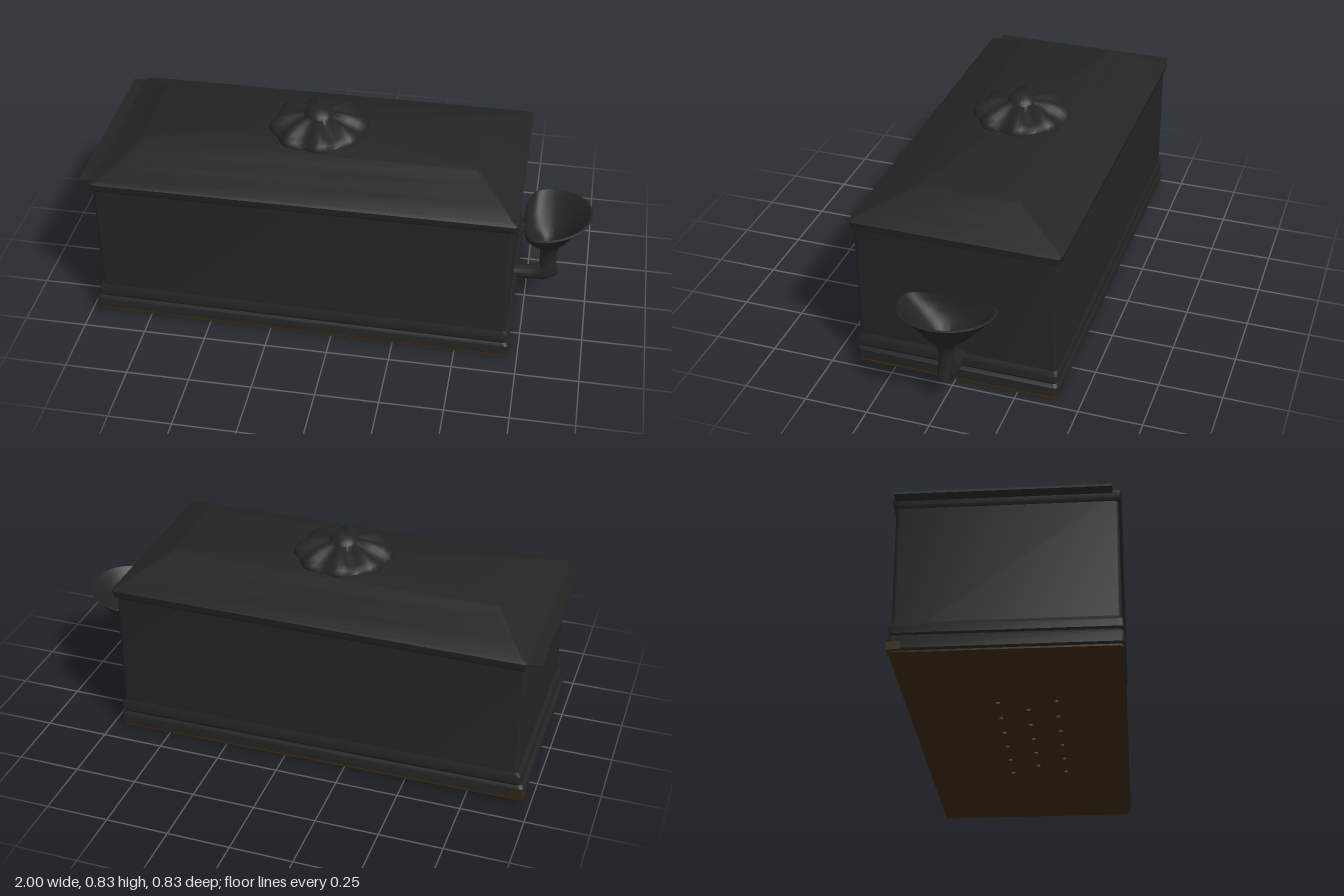
import * as THREE from 'three';
import { toCreasedNormals } from 'three/addons/utils/BufferGeometryUtils.js';

const black = new THREE.MeshStandardMaterial({ color: 0x242424 });
black.name = 'black enamel';
const brown = new THREE.MeshStandardMaterial({ color: 0x38250f });
brown.name = 'dark wood';
const tan = new THREE.MeshStandardMaterial({ color: 0x7a5a38 });
tan.name = 'pale wood';

// Skin a list of equal-length loops (ordered +x to +z, rising) and cap both ends
function loft(loops, crease = 0.6) {
  const n = loops[0].length, pos = [], idx = [];
  loops.forEach(l => l.forEach(p => pos.push(...p)));
  for (let i = 0; i < loops.length - 1; i++) {
    for (let j = 0; j < n; j++) {
      const a = i * n + j, b = i * n + (j + 1) % n;
      idx.push(a, a + n, b, b, a + n, b + n);
    }
  }
  [0, loops.length - 1].forEach((row, end) => {
    const c = pos.length / 3;
    pos.push(...[0, 1, 2].map(k => loops[row].reduce((s, p) => s + p[k], 0) / n));
    for (let j = 0; j < n; j++) {
      const a = row * n + j, b = row * n + (j + 1) % n;
      idx.push(c, end ? b : a, end ? a : b);
    }
  });
  const g = new THREE.BufferGeometry();
  g.setAttribute('position', new THREE.Float32BufferAttribute(pos, 3));
  g.setIndex(idx);
  return toCreasedNormals(g, crease);
}

// Rectangle with rounded corners, at height y
function rectLoop(y, x0, x1, z, r = 0.015) {
  const pts = [];
  [[x1 - r, z - r], [x0 + r, z - r], [x0 + r, r - z], [x1 - r, r - z]].forEach(([cx, cz], q) => {
    for (let k = 0; k <= 3; k++) {
      const t = (q + k / 3) * Math.PI / 2;
      pts.push([cx + r * Math.cos(t), y, cz + r * Math.sin(t)]);
    }
  });
  return pts;
}

// Stack of rectangles given as [y, x0, x1, half depth]
const stack = rows => loft(rows.map(r => rectLoop(...r)));

// The underside drops slightly towards +x
function shear(g) {
  const p = g.attributes.position;
  for (let i = 0; i < p.count; i++) p.setY(i, p.getY(i) - 0.012 * (p.getX(i) + 0.13));
  return g;
}

export function createModel() {
  const model = new THREE.Group();
  const add = (name, geometry, material = black, parent = model) => {
    const m = new THREE.Mesh(geometry, material);
    m.name = name;
    parent.add(m);
    return m;
  };

  // Box and its mouldings
  add('boxBody', stack([[0.07, -0.942, 0.698, 0.4], [0.63, -0.942, 0.698, 0.4]]));
  add('plinth', shear(stack([
    [0.018, -0.962, 0.705, 0.4], [0.026, -0.972, 0.713, 0.408],
    [0.066, -0.972, 0.713, 0.408], [0.078, -0.962, 0.703, 0.4],
  ])));
  add('lowerMoulding', shear(stack([
    [0.076, -0.945, 0.7, 0.398], [0.09, -0.958, 0.71, 0.407],
    [0.118, -0.958, 0.71, 0.407], [0.136, -0.945, 0.7, 0.401],
  ])));

  // Hipped lid with a rolled edge, and the thin flange at its -x end
  add('lid', stack([
    [0.604, -0.943, 0.7, 0.4], [0.614, -0.95, 0.712, 0.409],
    [0.642, -0.952, 0.717, 0.413], [0.655, -0.925, 0.695, 0.398],
    [0.685, -0.872, 0.645, 0.33], [0.715, -0.828, 0.59, 0.262],
    [0.738, -0.796, 0.548, 0.208], [0.744, -0.785, 0.535, 0.198],
  ]));
  const flange = add('lidFlange', new THREE.BoxGeometry(0.06, 0.009, 0.78));
  flange.position.set(-0.97, 0.636, -0.01);

  // Wooden underside with sound holes
  add('bottomBoard', shear(stack([[0.012, -0.965, 0.71, 0.404], [0.0185, -0.965, 0.71, 0.404]])), brown);
  const holes = new THREE.Group();
  holes.name = 'soundHoles';
  model.add(holes);
  const disc = new THREE.CylinderGeometry(0.008, 0.008, 0.003, 10);
  [[-0.065, 0.18, 6], [0.042, 0.11, 5], [0.15, 0.18, 6]].forEach(([z, x0, count]) => {
    for (let i = 0; i < count; i++) {
      const x = x0 - 0.14 * i;
      add('soundHole', disc, tan, holes).position.set(x, 0.0115 - 0.012 * (x + 0.13), z);
    }
  });

  // Worn corner of the plinth
  const chip = add('wornCorner', new THREE.BoxGeometry(0.05, 0.03, 0.05), brown);
  chip.position.set(-0.949, 0.045, -0.385);

  // Rosette on the lid: rings with swirling petals
  const profile = [
    [0.19, 0.738, 0], [0.192, 0.75, 0.003], [0.182, 0.764, 0.007], [0.155, 0.777, 0.013],
    [0.12, 0.79, 0.012], [0.085, 0.8, 0.008], [0.058, 0.804, 0.003],
    [0.052, 0.816, 0], [0.038, 0.828, 0], [0.015, 0.834, 0],
  ];
  const rosette = loft(profile.map(([r, y, wave]) => Array.from({ length: 64 }, (_, j) => {
    const t = j / 64 * Math.PI * 2;
    const lobe = Math.cos(8 * t + r * 9);
    const rr = r * (1 + (r > 0.1 ? 0.045 * lobe : 0));
    return [-0.115 + rr * Math.cos(t), y + wave * lobe, rr * Math.sin(t)];
  })), 0.9);
  add('rosette', rosette);

  // Mouthpiece sections: x, y, heading, inner radius, outer radius, half width
  const q = Math.PI / 2;
  const outer = [
    [0.685, 0.118, 0, 0.027, 0.027, 0.03], [0.76, 0.12, 0, 0.03, 0.028, 0.032],
    [0.805, 0.132, 0.5, 0.032, 0.045, 0.034], [0.83, 0.15, 1.1, 0.03, 0.055, 0.034],
    [0.835, 0.175, q, 0.035, 0.033, 0.03], [0.835, 0.22, q, 0.036, 0.033, 0.025],
    [0.834, 0.252, q, 0.038, 0.037, 0.031], [0.832, 0.28, q, 0.045, 0.05, 0.048],
    [0.826, 0.308, 1.63, 0.075, 0.082, 0.088], [0.818, 0.345, 1.66, 0.09, 0.115, 0.126],
    [0.812, 0.385, 1.68, 0.09, 0.152, 0.165], [0.81, 0.413, 1.69, 0.09, 0.188, 0.189],
  ];
  const inner = outer.slice(5).reverse().map(([x, y, a, r1, r2, w]) =>
    [x, y + 0.004, a, r1 - 0.008, r2 - 0.008, w - 0.008]);
  const mouthpiece = loft([...outer, ...inner].map(([x, y, a, r1, r2, w]) =>
    Array.from({ length: 40 }, (_, j) => {
      const t = j / 40 * Math.PI * 2, c = Math.cos(t);
      // The side facing the box is flattened once the horn flares
      const d = c > 0 ? r2 * c : -r1 * Math.pow(-c, w > 0.06 ? 0.65 : 1);
      return [x + Math.sin(a) * d, y - Math.cos(a) * d, -0.011 + w * Math.sin(t)];
    })), 0.9);
  add('mouthpiece', mouthpiece);

  return model;
}
